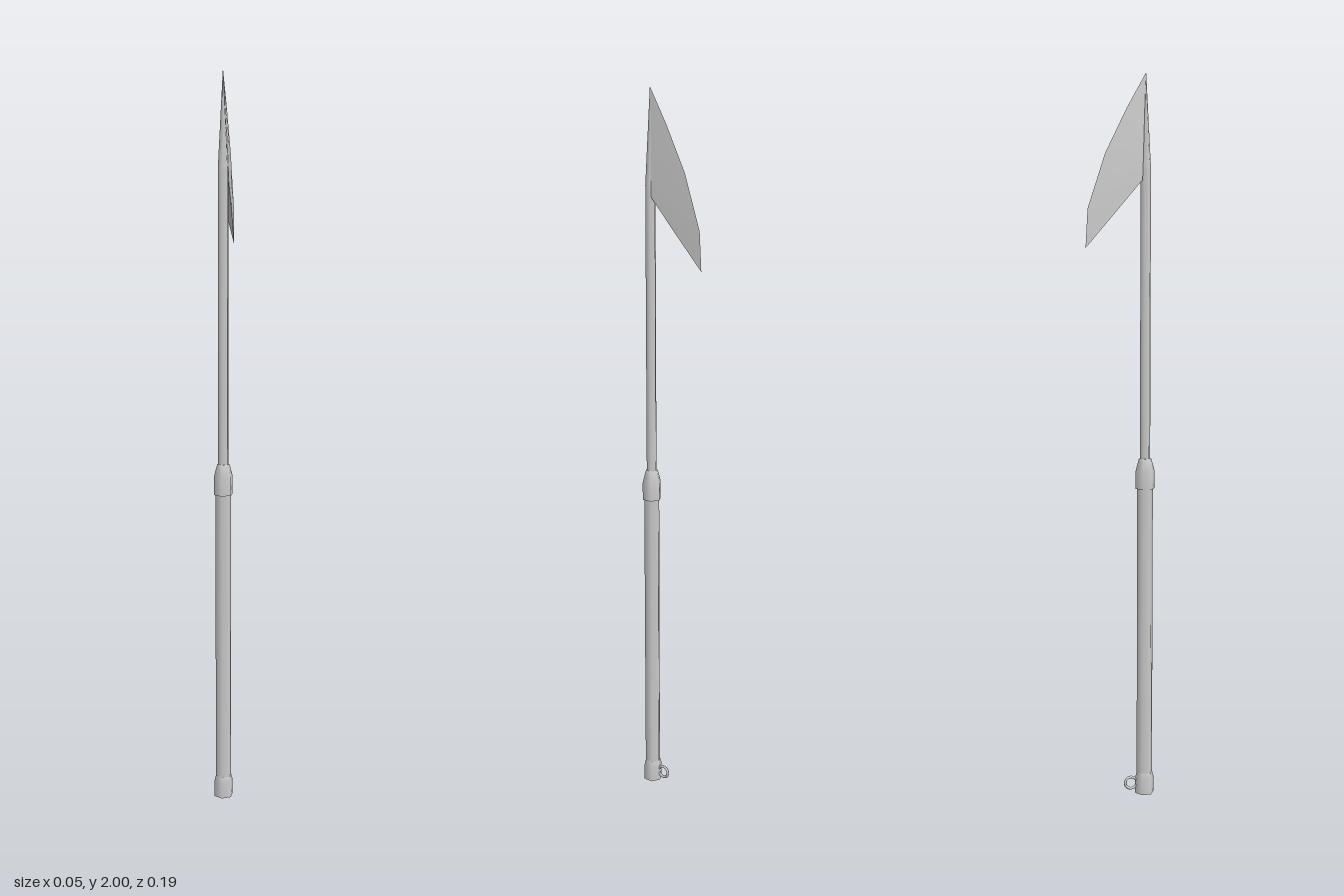
import * as THREE from 'three';

const material = new THREE.MeshStandardMaterial({ color: 0xcccccc });
const poleZ = 0.07;

export function createModel() {
  const group = new THREE.Group();
  const add = (name, geometry, y = 0, z = poleZ) => {
    const mesh = new THREE.Mesh(geometry, material);
    mesh.name = name;
    mesh.position.set(0, y, z);
    group.add(mesh);
    return mesh;
  };
  // Six-sided turned part from [radius, height] pairs
  const turned = (name, profile) =>
    add(name, new THREE.LatheGeometry(profile.map(([r, y]) => new THREE.Vector2(r, y)), 6));

  // Pole, from the butt upwards
  turned('buttCap', [[0.027, 0], [0.027, 0.045], [0.0225, 0.062]]);
  const base = add('buttBase', new THREE.CircleGeometry(0.027, 6, Math.PI / 2));
  base.rotation.x = Math.PI / 2;
  turned('grip', [[0.0225, 0.06], [0.0225, 0.88], [0.027, 0.881]]);
  turned('collar', [[0.027, 0.88], [0.027, 0.93], [0.018, 0.963], [0.0145, 0.964]]);
  turned('shaft', [[0.0145, 0.96], [0.0145, 1.75]]);
  turned('spike', [[0.0145, 1.75], [0.0005, 2.0]]);

  // Lanyard loop behind the butt cap
  const ring = add('lanyardRing', new THREE.TorusGeometry(0.017, 0.004, 6, 12), 0.031, 0.031);
  ring.rotation.y = Math.PI / 2;

  add('blade', bladeGeometry(), 0, 0);
  return group;
}

// Wedge blade: thick at the spine, sharp along the curved outer edge
function bladeGeometry() {
  // Each row: spine z, spine y, half thickness, edge z, edge y
  const rows = [
    [0.058, 1.72, 0.0125, -0.096, 1.54],
    [0.06, 1.77, 0.0115, -0.09, 1.645],
    [0.063, 1.85, 0.0075, -0.042, 1.79],
    [0.066, 1.92, 0.004, 0.018, 1.91],
    [0.07, 2.0, 0.0004, 0.0695, 2.0],
  ];
  const positions = [];
  const indices = [];
  for (const side of [1, -1]) {
    const start = positions.length / 3;
    for (const [sz, sy, t, ez, ey] of rows) {
      positions.push(side * t, sy, sz);
      positions.push(side * t * 0.6, (sy + ey) / 2, (sz + ez) / 2);
      positions.push(0, ey, ez);
    }
    for (let i = 0; i < rows.length - 1; i++) {
      for (let j = 0; j < 2; j++) {
        const a = start + i * 3 + j, b = a + 1, c = a + 3, d = a + 4;
        if (side > 0) indices.push(a, b, d, a, d, c);
        else indices.push(a, d, b, a, c, d);
      }
    }
  }
  // Lower face between the two sides, with its own corners for a crisp edge
  const other = rows.length * 3;
  const corners = [0, 1, 2, other, other + 1];
  const n = positions.length / 3;
  for (const k of corners) positions.push(...positions.slice(k * 3, k * 3 + 3));
  indices.push(n, n + 3, n + 4, n, n + 4, n + 1, n + 1, n + 4, n + 2);

  const geometry = new THREE.BufferGeometry();
  geometry.setAttribute('position', new THREE.Float32BufferAttribute(positions, 3));
  geometry.setIndex(indices);
  geometry.computeVertexNormals();
  return geometry;
}
